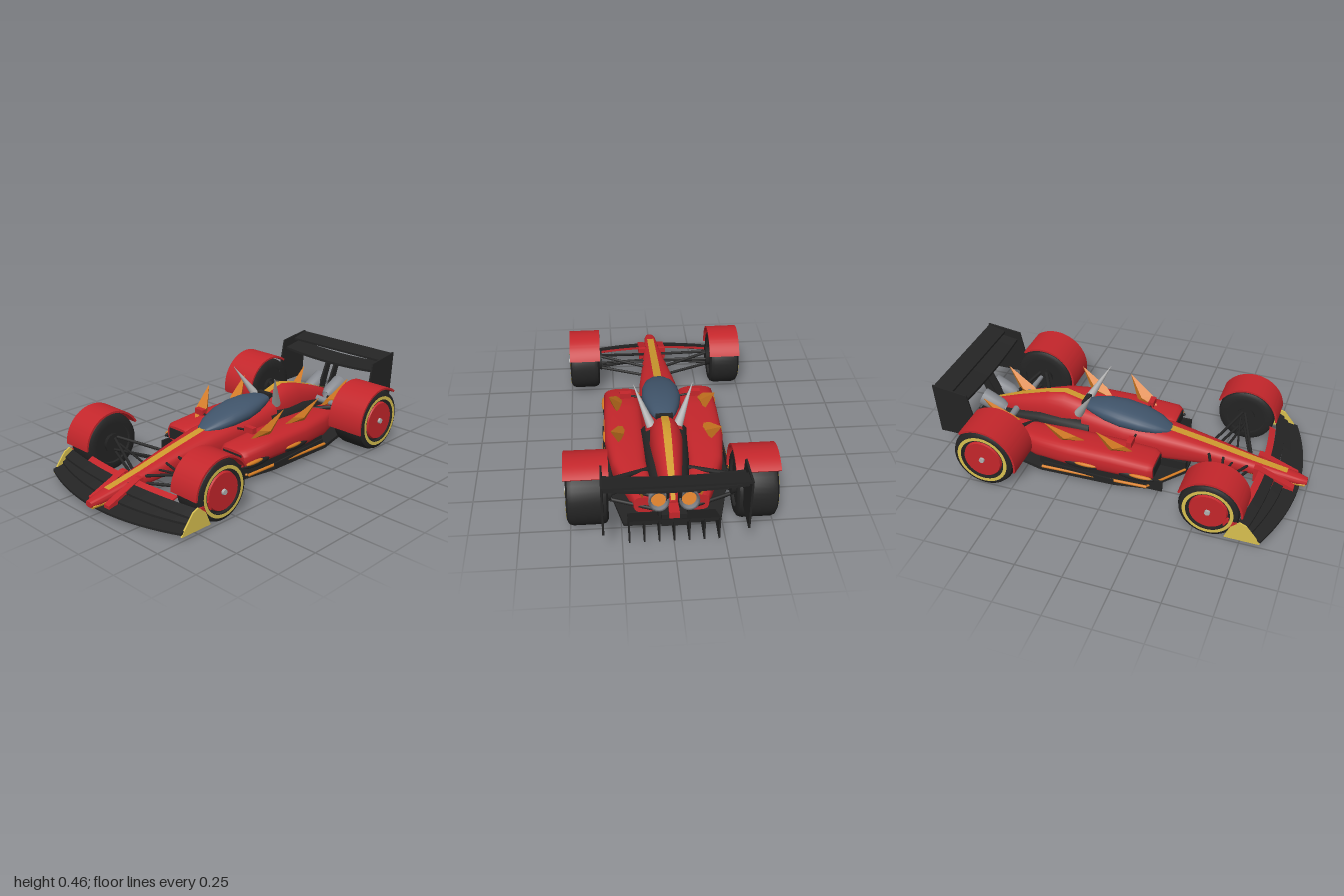
import * as THREE from 'three';
import { toCreasedNormals } from 'three/addons/utils/BufferGeometryUtils.js';
import { ConvexGeometry } from 'three/addons/geometries/ConvexGeometry.js';

const mat = (name, color) => Object.assign(new THREE.MeshStandardMaterial({ color, side: THREE.DoubleSide }), { name });
const V = (a) => new THREE.Vector3(...a);

// Skin over superellipse sections [z, centreX, halfWidth, bottom, top], front to back
function loft(sections, n = 3, seg = 28) {
  const pos = [], idx = [], last = sections.length - 1;
  const pw = (t) => Math.sign(t) * Math.abs(t) ** (2 / n);
  for (const [z, cx, hw, yb, yt] of sections)
    for (let i = 0; i < seg; i++) {
      const a = (i / seg) * Math.PI * 2;
      pos.push(cx + hw * pw(Math.cos(a)), (yb + yt) / 2 + ((yt - yb) / 2) * pw(Math.sin(a)), z);
    }
  for (const k of [0, last]) {
    const [z, cx, , yb, yt] = sections[k];
    pos.push(cx, (yb + yt) / 2, z);
  }
  const c = (last + 1) * seg;
  for (let i = 0; i < seg; i++) {
    const j = (i + 1) % seg;
    for (let k = 0; k < last; k++) {
      const a = k * seg, b = a + seg;
      idx.push(a + i, b + i, a + j, b + i, b + j, a + j);
    }
    idx.push(c, i, j, c + 1, last * seg + j, last * seg + i);
  }
  const g = new THREE.BufferGeometry();
  g.setAttribute('position', new THREE.Float32BufferAttribute(pos, 3));
  g.setIndex(idx);
  return toCreasedNormals(g, 0.8);
}

// Side outline in (z, y), extruded between two x positions
function sidePlate(shape, x0, x1) {
  if (Array.isArray(shape)) shape = new THREE.Shape(shape.map((p) => new THREE.Vector2(...p)));
  return new THREE.ExtrudeGeometry(shape, { depth: x1 - x0, bevelEnabled: false, curveSegments: 24 })
    .rotateY(-Math.PI / 2).translate(x1, 0, 0);
}

// Round bar between two points
function rod(a, b, r0, r1 = r0, seg = 10) {
  const p = V(a), d = V(b).sub(p), len = d.length();
  const q = new THREE.Quaternion().setFromUnitVectors(new THREE.Vector3(0, 1, 0), d.normalize());
  return new THREE.CylinderGeometry(r1, r0, len, seg).translate(0, len / 2, 0).applyQuaternion(q).translate(...a);
}

const box = (x0, x1, y0, y1, z0, z1) => new THREE.BoxGeometry(x1 - x0, y1 - y0, Math.abs(z1 - z0))
  .translate((x0 + x1) / 2, (y0 + y1) / 2, (z0 + z1) / 2);

// Swept blade standing on a pod
function blade(front, back, tip, t = 0.022) {
  const m = V(front).lerp(V(back), 0.5).lerp(V(tip), 0.3);
  return new ConvexGeometry([V(front), V(back), V(tip),
    m.clone().add(V([t, 0, 0])), m.clone().add(V([-t, 0, 0])), m.clone().add(V([0, 0.01, 0.06]))]);
}

// Aerofoil bent by a rule: z = -sweep*x^2, y = rise*x^2, back edge lifted
function foil(width, thick, chord, y, z, sweep, rise, lift) {
  const g = new THREE.BoxGeometry(width, thick, chord, 24, 1, 1), p = g.attributes.position;
  for (let i = 0; i < p.count; i++) {
    const x = p.getX(i), dz = p.getZ(i);
    p.setXYZ(i, x, p.getY(i) + y + rise * x * x - (dz / chord) * lift, dz + z - sweep * x * x);
  }
  return toCreasedNormals(g, 0.5);
}

// Flat band lying on a run of (z, y, halfWidth) points
function band(pts) {
  const pos = [], idx = [];
  pts.forEach(([z, y, w], i) => {
    pos.push(-w, y, z, w, y, z);
    if (i) idx.push(2 * i - 2, 2 * i - 1, 2 * i, 2 * i - 1, 2 * i + 1, 2 * i);
  });
  const g = new THREE.BufferGeometry();
  g.setAttribute('position', new THREE.Float32BufferAttribute(pos, 3));
  g.setIndex(idx);
  g.computeVertexNormals();
  return g;
}

function mirrored(geo) {
  const g = geo.clone().scale(-1, 1, 1);
  if (!g.index) g.setIndex([...Array(g.attributes.position.count).keys()]);
  const a = g.index.array;
  for (let i = 0; i < a.length; i += 3) [a[i], a[i + 1]] = [a[i + 1], a[i]];
  return g;
}

export function createModel() {
  const car = new THREE.Group();
  car.name = 'raceCar';
  const red = mat('red', 0xc4262b), black = mat('black', 0x242424), gold = mat('gold', 0xcf9a2e),
    yellow = mat('yellow', 0xd8c04f), orange = mat('orange', 0xd67c22), steel = mat('steel', 0x85888e),
    horn = mat('paleMetal', 0xb0b0b0), glass = mat('canopyBlue', 0x40546a);
  const add = (name, geo, m) => {
    const mesh = new THREE.Mesh(geo, m);
    mesh.name = name;
    car.add(mesh);
  };
  const pair = (name, geo, m) => {
    add(name + 'Left', geo, m);
    add(name + 'Right', mirrored(geo), m);
  };

  // Central body, engine cover and canopy
  add('nose', loft([[1, 0, 0.022, 0.055, 0.085], [0.95, 0, 0.034, 0.052, 0.1], [0.7, 0, 0.055, 0.07, 0.148],
    [0.45, 0, 0.08, 0.085, 0.2], [0.25, 0, 0.105, 0.07, 0.237], [0, 0, 0.118, 0.05, 0.262],
    [-0.25, 0, 0.1, 0.05, 0.285]]), red);
  add('noseChin', loft([[0.992, 0, 0.028, 0.048, 0.068], [0.85, 0, 0.046, 0.05, 0.085], [0.6, 0, 0.03, 0.07, 0.09]]), gold);
  add('engineCover', loft([[-0.24, 0, 0.075, 0.1, 0.31], [-0.37, 0, 0.085, 0.1, 0.345], [-0.48, 0, 0.075, 0.1, 0.322],
    [-0.65, 0, 0.055, 0.1, 0.265], [-0.8, 0, 0.025, 0.12, 0.205]], 2.2), red);
  add('engineBay', loft([[-0.2, 0, 0.13, 0.05, 0.235], [-0.5, 0, 0.11, 0.05, 0.225], [-0.8, 0, 0.07, 0.06, 0.16]]), black);
  add('canopy', loft([[0.25, 0, 0.015, 0.225, 0.236], [0.235, 0, 0.04, 0.22, 0.249], [0.17, 0, 0.075, 0.215, 0.281],
    [0.08, 0, 0.098, 0.215, 0.312], [-0.03, 0, 0.104, 0.22, 0.331], [-0.12, 0, 0.09, 0.235, 0.335],
    [-0.2, 0, 0.065, 0.26, 0.325], [-0.25, 0, 0.04, 0.275, 0.31]], 2.3), glass);
  add('airIntake', box(-0.045, 0.045, 0.285, 0.322, -0.265, -0.238), black);
  add('noseStripe', band([[0.89, 0.116, 0.02], [0.7, 0.151, 0.021], [0.45, 0.203, 0.022], [0.24, 0.242, 0.022]]), gold);
  add('spineStripe', band([[-0.26, 0.32, 0.02], [-0.37, 0.349, 0.021], [-0.48, 0.326, 0.02], [-0.65, 0.269, 0.017],
    [-0.8, 0.209, 0.01]]), gold);
  pair('horn', rod([0.07, 0.265, -0.27], [0.155, 0.457, -0.16], 0.026, 0.001, 12), horn);

  // Side pods with inlets, slots, mirrors and blades
  pair('sidePod', loft([[0.225, 0.21, 0.085, 0.09, 0.18], [0.2, 0.21, 0.1, 0.08, 0.195], [0, 0.21, 0.104, 0.075, 0.207],
    [-0.25, 0.208, 0.106, 0.07, 0.208], [-0.45, 0.195, 0.09, 0.06, 0.2], [-0.72, 0.13, 0.055, 0.07, 0.165]], 3.2), red);
  pair('podInlet', box(0.145, 0.275, 0.105, 0.165, 0.222, 0.23), black);
  pair('podUnderside', box(0.1, 0.29, 0.04, 0.09, -0.42, 0.19), black);
  for (const z of [0.14, -0.17]) {
    pair('sideSlot', new THREE.SphereGeometry(1, 20, 10).scale(0.014, 0.021, 0.1).translate(0.306, 0.11, z), black);
    pair('slotTrim', new THREE.SphereGeometry(1, 16, 8).scale(0.013, 0.011, 0.065).translate(0.312, 0.121, z + 0.025), orange);
  }
  pair('mirror', box(0.16, 0.222, 0.225, 0.257, 0.055, 0.085), red);
  pair('mirrorStem', rod([0.09, 0.22, 0.07], [0.18, 0.235, 0.07], 0.006), black);
  pair('frontBlade', blade([0.21, 0.19, 0.1], [0.24, 0.19, -0.03], [0.285, 0.338, -0.09], 0.028), orange);
  pair('middleBlade', blade([0.205, 0.19, -0.16], [0.24, 0.19, -0.31], [0.285, 0.325, -0.385], 0.028), orange);
  pair('rearBlade', blade([0.12, 0.16, -0.58], [0.145, 0.16, -0.72], [0.17, 0.31, -0.8], 0.028), orange);

  // Floor, edge trim and diffuser
  const half = [[0.1, 0.36], [0.29, 0.2], [0.32, 0.02], [0.33, -0.4], [0.24, -0.77]];
  const outline = [...half, ...half.map(([x, z]) => [-x, z]).reverse()].map(([x, z]) => new THREE.Vector2(x, -z));
  add('floor', new THREE.ExtrudeGeometry(new THREE.Shape(outline), { depth: 0.018, bevelEnabled: false })
    .rotateX(-Math.PI / 2).translate(0, 0.03, 0), black);
  pair('frontFloorTrim', rod([0.1, 0.055, 0.355], [0.295, 0.055, 0.2], 0.007), orange);
  pair('sideFloorTrim', rod([0.305, 0.055, 0.2], [0.332, 0.06, -0.39], 0.008), orange);
  pair('floorEdge', sidePlate([[0.02, 0.04], [0.02, 0.07], [-0.38, 0.09], [-0.39, 0.04]], 0.318, 0.326), black);
  pair('bargeBoard', box(0.28, 0.29, 0.032, 0.1, 0.19, 0.28), black);
  pair('frontSplitter', box(0.06, 0.1, 0.03, 0.1, 0.2, 0.355), black);
  add('diffuserRamp', sidePlate([[-0.7, 0.035], [-0.88, 0.14], [-0.88, 0.155], [-0.7, 0.05]], -0.22, 0.22), black);
  for (let i = -3; i <= 3; i++)
    add('diffuserFin', sidePlate([[-0.72, 0.035], [-0.89, 0.03], [-0.89, 0.155], [-0.86, 0.14]], i * 0.072 - 0.004, i * 0.072 + 0.004), black);
  add('gearbox', box(-0.06, 0.06, 0.1, 0.17, -0.86, -0.75), black);
  add('rearLight', box(-0.025, 0.025, 0.155, 0.19, -0.87, -0.8), red);

  // Exhausts
  const pipe = new THREE.LatheGeometry([[0.03, 0], [0.042, 0.03], [0.047, 0.09], [0.05, 0.14], [0.04, 0.14], [0.034, 0.08]]
    .map((p) => new THREE.Vector2(...p)), 20);
  const core = new THREE.CylinderGeometry(0.036, 0.036, 0.01, 20).translate(0, 0.1, 0);
  for (const g of [pipe, core]) g.rotateX(-1.2).translate(0.073, 0.195, -0.72);
  pair('exhaust', pipe, steel);
  pair('exhaustCore', core, orange);

  // Wheels and fenders: z, axle height, tyre radius, inner x, outer x, fender radius and arc
  for (const [end, z, y, R, x0, x1, fr, a0, a1] of [
    ['front', 0.58, 0.163, 0.16, 0.33, 0.5, 0.18, 0.02, 2.65],
    ['rear', -0.65, 0.175, 0.172, 0.31, 0.512, 0.194, -0.19, 2.22]]) {
    const w = (x1 - x0) / 2, cx = (x0 + x1) / 2, rim = R * 0.69;
    const turned = (g, x) => g.rotateZ(-Math.PI / 2).translate(x, y, z);
    const profile = [[rim, -w], [R - 0.024, -w], [R - 0.007, -w + 0.01], [R, -w + 0.03], [R, w - 0.03], [R - 0.007, w - 0.01],
      [R - 0.024, w], [rim, w]].map((p) => new THREE.Vector2(...p));
    pair(end + 'Tyre', turned(toCreasedNormals(new THREE.LatheGeometry(profile, 40), 0.6), cx), black);
    pair(end + 'Barrel', turned(new THREE.CylinderGeometry(rim, rim, w * 2 - 0.03, 32), cx), black);
    pair(end + 'TyreBand', new THREE.RingGeometry(R * 0.72, R * 0.83, 40).rotateY(Math.PI / 2).translate(x1 + 0.002, y, z), yellow);
    pair(end + 'Rim', turned(new THREE.CylinderGeometry(R * 0.6, R * 0.64, 0.02, 32), x1 - 0.01), red);
    pair(end + 'WheelNut', turned(new THREE.CylinderGeometry(0.014, 0.016, 0.02, 12), x1 + 0.002), horn);
    pair(end + 'Hub', turned(new THREE.CylinderGeometry(0.05, 0.06, 0.03, 20), x0), black);
    const arc = new THREE.Shape().absarc(z, y, fr, a0, a1, false).absarc(z, y, fr - 0.011, a1, a0, true);
    pair(end + 'Fender', toCreasedNormals(sidePlate(arc, x0 - 0.006, x1 + (end === 'rear' ? 0.01 : 0)), 0.6), red);
  }

  // Suspension arms
  for (const [a, b, r] of [
    [[0.34, 0.2, 0.57], [0.06, 0.17, 0.47], 0.008], [[0.34, 0.2, 0.57], [0.05, 0.13, 0.68], 0.008],
    [[0.34, 0.12, 0.57], [0.06, 0.11, 0.47], 0.008], [[0.34, 0.12, 0.57], [0.05, 0.09, 0.68], 0.008],
    [[0.34, 0.13, 0.59], [0.06, 0.16, 0.55], 0.007], [[0.34, 0.16, 0.55], [0.06, 0.14, 0.6], 0.006],
    [[0.32, 0.215, -0.64], [0.08, 0.17, -0.5], 0.012], [[0.32, 0.215, -0.66], [0.07, 0.18, -0.74], 0.01],
    [[0.32, 0.12, -0.64], [0.1, 0.1, -0.5], 0.01], [[0.32, 0.12, -0.66], [0.07, 0.1, -0.74], 0.01]])
    pair('suspensionArm', rod(a, b, r), black);
  pair('driveShaft', rod([0.05, 0.19, -0.66], [0.32, 0.18, -0.66], 0.02, 0.011), steel);

  // Front wing
  add('frontWingMain', foil(1, 0.012, 0.075, 0.045, 0.925, 0.42, 0.02, 0.015), black);
  add('frontWingMiddle', foil(1, 0.012, 0.05, 0.075, 0.862, 0.36, 0.01, 0.02), black);
  add('frontWingUpper', foil(1, 0.012, 0.05, 0.108, 0.808, 0.22, -0.02, 0.025), black);
  add('frontWingFlap', foil(0.66, 0.01, 0.035, 0.125, 0.766, 0.25, -0.04, 0.015), red);
  pair('wingMount', sidePlate([[0.94, 0.04], [0.94, 0.065], [0.74, 0.145], [0.72, 0.145], [0.72, 0.06]], 0.04, 0.08), red);
  pair('frontEndplate', sidePlate([[0.855, 0.025], [0.84, 0.05], [0.78, 0.125], [0.745, 0.14], [0.7, 0.1], [0.67, 0.025]], 0.494, 0.503), yellow);
  pair('endplateFoot', sidePlate([[0.73, 0.13], [0.73, 0.12], [0.69, 0.08], [0.66, 0.1], [0.66, 0.15]], 0.485, 0.5), red);

  // Rear wing
  pair('rearEndplate', sidePlate([[-0.745, 0.17], [-0.8, 0.437], [-1, 0.463], [-0.98, 0.17]], 0.334, 0.344), black);
  add('rearWingUpper', foil(0.67, 0.012, 0.1, 0.44, -0.945, 0, 0, 0.025), black);
  add('rearWingMain', foil(0.67, 0.014, 0.13, 0.376, -0.885, 0, 0.16, 0.02), black);
  pair('rearWingPylon', sidePlate([[-0.75, 0.16], [-0.85, 0.375], [-0.89, 0.375], [-0.81, 0.16]], 0.024, 0.036), black);
  return car;
}
